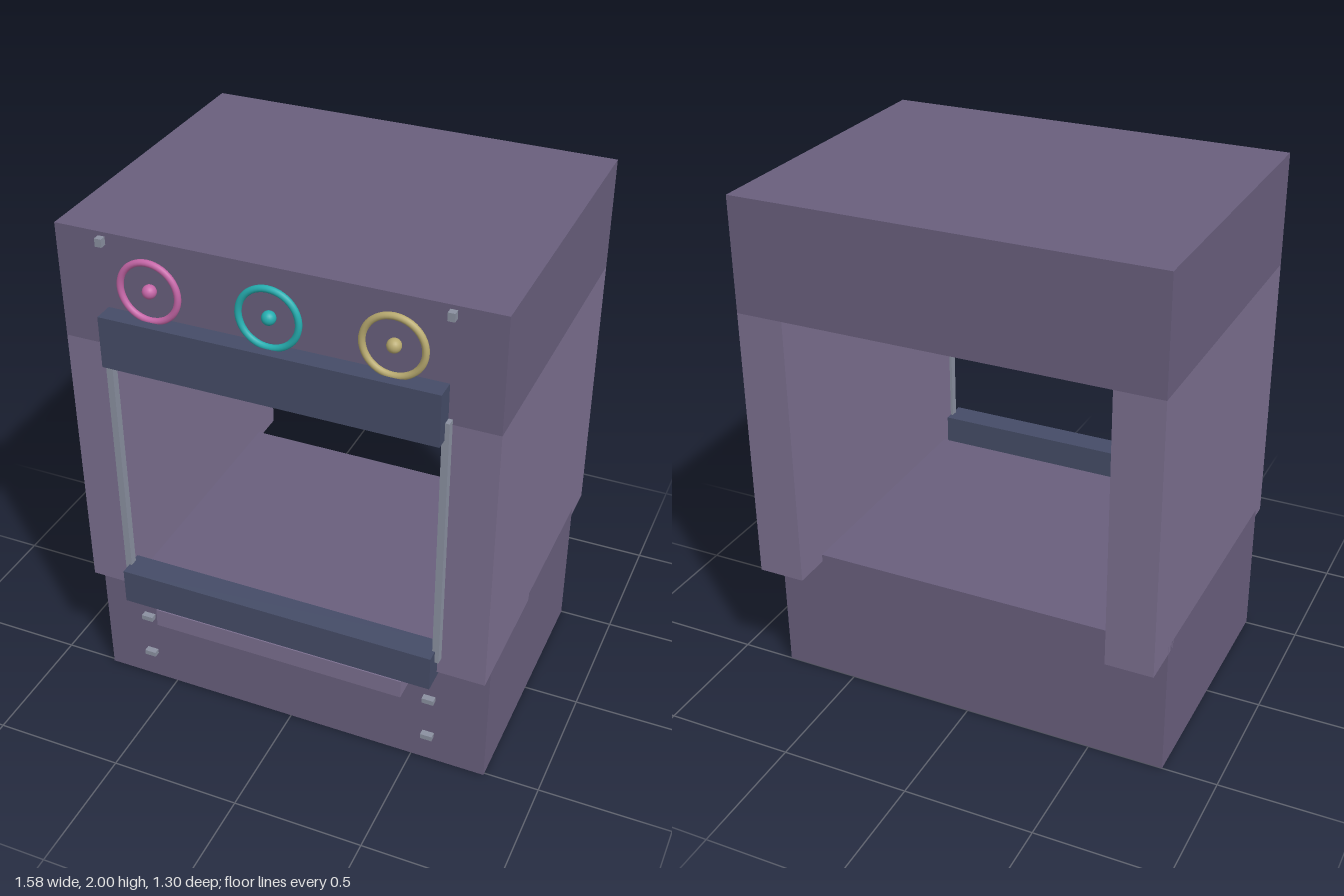
import * as THREE from 'three';

const material = (color) => new THREE.MeshStandardMaterial({ color });

export function createModel() {
  const model = new THREE.Group();
  model.name = 'cooker';
  const body = material(0x695f7d);
  const panel = material(0x7b6f8f);
  const slate = material(0x454c67);
  const metal = material(0x8a90a0);

  const add = (name, geometry, mat, x, y, z) => {
    const mesh = new THREE.Mesh(geometry, mat);
    mesh.name = name;
    mesh.position.set(x, y, z);
    model.add(mesh);
    return mesh;
  };
  // Box given by its extents on each axis
  const box = (name, mat, [x0, x1], [y0, y1], [z0, z1]) =>
    add(name, new THREE.BoxGeometry(x1 - x0, y1 - y0, z1 - z0), mat,
      (x0 + x1) / 2, (y0 + y1) / 2, (z0 + z1) / 2);
  // Same box on both sides
  const pair = (name, mat, [x0, x1], ys, zs) => {
    box(name + 'Left', mat, [x0, x1], ys, zs);
    box(name + 'Right', mat, [-x1, -x0], ys, zs);
  };

  // Cabinet: top block, side walls and set-back base around an open oven
  box('topBlock', body, [-0.79, 0.79], [1.57, 2], [-0.645, 0.575]);
  pair('sideWall', panel, [0.61, 0.79], [0.51, 1.57], [-0.645, 0.575]);
  box('base', body, [-0.79, 0.79], [0, 0.54], [-0.5, 0.51]);

  // Oven door frame: two bars joined by thin rails
  box('doorTopBar', slate, [-0.61, 0.61], [1.525, 1.72], [0.545, 0.65]);
  box('doorBottomBar', slate, [-0.61, 0.61], [0.49, 0.63], [0.545, 0.65]);
  pair('doorRail', metal, [0.6, 0.625], [0.58, 1.59], [0.575, 0.605]);

  // Drawer handle
  box('drawerHandle', panel, [-0.495, 0.495], [0.39, 0.465], [0.5, 0.63]);

  // Small fittings on the drawer front and control panel
  for (const y of [0.165, 0.345])
    pair('drawerFitting', metal, [0.555, 0.6], [y - 0.01, y + 0.01], [0.545, 0.57]);
  pair('panelFitting', metal, [0.6, 0.625], [1.955, 1.985], [0.57, 0.6]);

  // Control dials: a ring with a round hub
  const ring = new THREE.TorusGeometry(0.107, 0.012, 12, 48);
  const hub = new THREE.SphereGeometry(0.025, 20, 14);
  [['Right', -0.433, 0xc667a8], ['Centre', 0, 0x25aeb0], ['Left', 0.43, 0xb8aa70]]
    .forEach(([side, x, color]) => {
      const mat = material(color);
      add('dialRing' + side, ring, mat, x, 1.828, 0.602);
      add('dialHub' + side, hub, mat, x, 1.828, 0.598);
    });

  return model;
}
